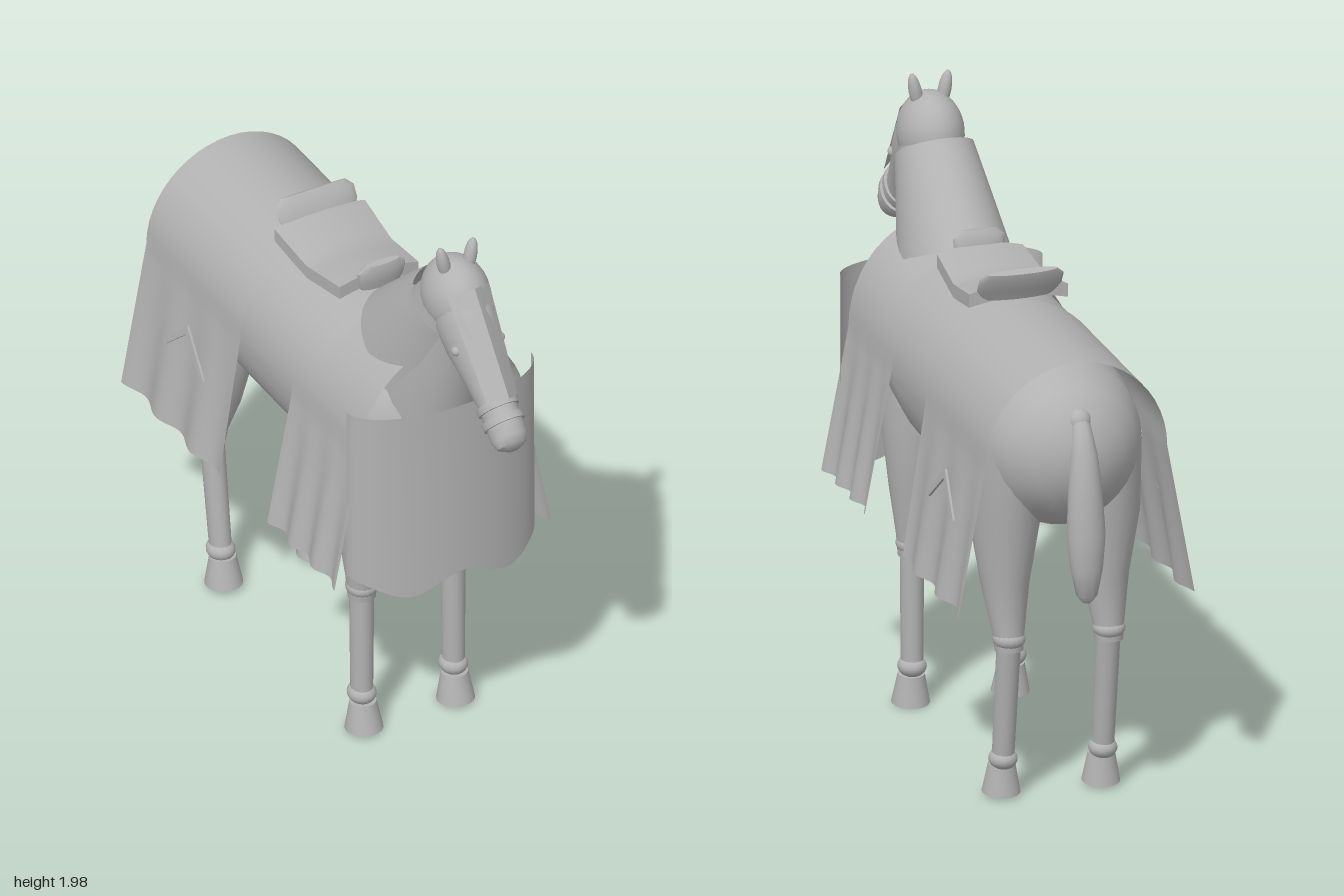
import * as THREE from 'three';
import { toCreasedNormals } from 'three/addons/utils/BufferGeometryUtils.js';

const gray = new THREE.MeshStandardMaterial({ color: 0xb2b2b2, side: THREE.DoubleSide });
gray.name = 'plain gray';

function build(pos, index) {
  const g = new THREE.BufferGeometry();
  g.setAttribute('position', new THREE.Float32BufferAttribute(pos, 3));
  g.setIndex(index);
  return toCreasedNormals(g, 0.7);
}

// Closed loft of ellipses; each section is [y, z, radius in x, radius across the path]
function loft(sections, n = 24) {
  const pos = [], idx = [], m = sections.length;
  sections.forEach(([y, z, rx, rn], k) => {
    const a = sections[Math.max(k - 1, 0)], b = sections[Math.min(k + 1, m - 1)];
    const len = Math.hypot(b[0] - a[0], b[1] - a[1]);
    const ty = (b[0] - a[0]) / len, tz = (b[1] - a[1]) / len;
    for (let i = 0; i < n; i++) {
      const t = (i / n) * Math.PI * 2, c = Math.cos(t) * rx, s = Math.sin(t) * rn;
      pos.push(c, y + s * tz, z - s * ty);
    }
  });
  for (let k = 0; k < m - 1; k++) {
    for (let i = 0; i < n; i++) {
      const j = (i + 1) % n, a = k * n + i, b = k * n + j;
      idx.push(a, b, a + n, b, b + n, a + n);
    }
  }
  const first = sections[0], last = sections[m - 1];
  pos.push(0, first[0], first[1], 0, last[0], last[1]);
  for (let i = 0; i < n; i++) {
    const j = (i + 1) % n, e = (m - 1) * n;
    idx.push(m * n, j, i, m * n + 1, e + i, e + j);
  }
  return build(pos, idx);
}

// Open sheet from a rule f(u, v) giving [x, y, z]
function sheet(f, nu, nv) {
  const pos = [], idx = [];
  for (let j = 0; j <= nv; j++) for (let i = 0; i <= nu; i++) pos.push(...f(i / nu, j / nv));
  for (let j = 0; j < nv; j++) {
    for (let i = 0; i < nu; i++) {
      const a = j * (nu + 1) + i, b = a + nu + 1;
      idx.push(a, a + 1, b, a + 1, b + 1, b);
    }
  }
  return build(pos, idx);
}

// Cloth arched over the back, hanging to a wavy hem
function drape({ z0, z1, bottom, period, flare, wave, r = 0.3, lift = () => 0 }) {
  return sheet((u, v) => {
    const side = u < 0.5 ? -1 : 1, t = Math.abs(u * 2 - 1), z = z0 + (z1 - z0) * v;
    if (t <= 0.5) {
      const a = t * Math.PI;
      return [side * r * Math.sin(a), 1.2 + (r + 0.01 + lift(z)) * Math.cos(a), z];
    }
    const k = t * 2 - 1, ripple = wave * Math.cos(((z - z0) / period) * Math.PI * 2);
    return [side * (r + k * (flare + ripple)), 1.2 - k * (1.2 - bottom), z];
  }, 48, 40);
}

export function createModel() {
  const model = new THREE.Group();
  model.name = 'barded horse';
  const add = (name, geo, x = 0, y = 0, z = 0) => {
    const m = new THREE.Mesh(geo, gray);
    m.name = name;
    m.position.set(x, y, z);
    model.add(m);
    return m;
  };

  // Body, neck and head
  add('body', loft([
    [1.2, -0.925, 0.02, 0.02], [1.2, -0.915, 0.08, 0.08], [1.2, -0.88, 0.15, 0.155], [1.2, -0.82, 0.21, 0.215],
    [1.2, -0.73, 0.255, 0.265], [1.19, -0.6, 0.28, 0.29], [1.18, -0.35, 0.285, 0.305], [1.18, -0.1, 0.285, 0.312],
    [1.18, 0.1, 0.28, 0.305], [1.19, 0.3, 0.265, 0.28], [1.2, 0.44, 0.22, 0.23], [1.2, 0.53, 0.13, 0.14], [1.2, 0.56, 0.02, 0.02],
  ], 32));
  add('neck', loft([
    [1.2, 0.36, 0.16, 0.22], [1.45, 0.43, 0.155, 0.21], [1.62, 0.52, 0.12, 0.165], [1.76, 0.59, 0.1, 0.125],
  ]));
  add('cranium', new THREE.SphereGeometry(1, 24, 16), 0, 1.785, 0.595).scale.set(0.105, 0.135, 0.135);
  add('head', loft([
    [1.79, 0.595, 0.09, 0.12], [1.73, 0.655, 0.095, 0.125], [1.66, 0.72, 0.085, 0.11], [1.59, 0.785, 0.068, 0.088],
    [1.53, 0.845, 0.057, 0.072], [1.485, 0.895, 0.058, 0.072], [1.445, 0.935, 0.06, 0.064],
    [1.425, 0.955, 0.05, 0.05], [1.415, 0.967, 0.02, 0.02],
  ]));
  [[1.525, 0.852, 0.066], [1.49, 0.888, 0.067]].forEach(([y, z, rx]) =>
    add('noseband', loft([[y, z, rx, 0.08], [y - 0.016, z + 0.018, rx, 0.08]])));

  // Ridged plate along the face
  add('facePlate', sheet((u, v) => {
    const t = u * 2 - 1, w = 0.076 - 0.02 * v, ridge = 1 - Math.abs(t);
    return [t * w, 1.85 - 0.285 * v + 0.027 * ridge, 0.67 + 0.22 * v + 0.045 * ridge];
  }, 6, 1));

  // Cloth round the neck, open at the throat
  add('neckCover', sheet((u, v) => {
    const a = -Math.PI / 2 + 0.45 + u * (Math.PI * 2 - 0.9);
    const rn = 0.235 - 0.1 * v, rx = 0.175 - 0.05 * v;
    const ny = 0.4 + 0.13 * v, nz = -Math.sqrt(1 - ny * ny);
    return [rx * Math.cos(a), 1.455 + 0.288 * v + ny * rn * Math.sin(a), 0.365 + 0.195 * v + nz * rn * Math.sin(a)];
  }, 36, 8));

  // Ears and eyes
  for (const s of [-1, 1]) {
    const ear = add(s > 0 ? 'leftEar' : 'rightEar', new THREE.SphereGeometry(1, 14, 10), s * 0.048, 1.92, 0.6);
    ear.scale.set(0.021, 0.065, 0.024);
    ear.rotation.z = -s * 0.2;
    add(s > 0 ? 'leftEye' : 'rightEye', new THREE.SphereGeometry(0.018, 12, 8), s * 0.077, 1.68, 0.735);
  }

  // Legs with joints and hooves
  const legs = {
    front: { knee: [0.54, 0.285], ankle: [0.13, 0.285], hoof: 0.3,
      upper: [[0.5, 0.285, 0.045, 0.045], [0.57, 0.285, 0.05, 0.055], [0.73, 0.285, 0.072, 0.085], [1.0, 0.29, 0.1, 0.13], [1.2, 0.29, 0.08, 0.12]] },
    back: { knee: [0.55, -0.675], ankle: [0.13, -0.615], hoof: -0.595,
      upper: [[0.51, -0.675, 0.045, 0.045], [0.57, -0.67, 0.05, 0.055], [0.72, -0.635, 0.075, 0.09], [0.95, -0.625, 0.11, 0.16], [1.2, -0.63, 0.11, 0.18]] },
  };
  for (const [place, L] of Object.entries(legs)) {
    for (const x of [-0.165, 0.165]) {
      const name = place + (x > 0 ? 'Left' : 'Right');
      add(name + 'UpperLeg', loft(L.upper, 20), x);
      add(name + 'Shin', loft([[...L.ankle, 0.035, 0.039], [...L.knee, 0.038, 0.045]], 20), x);
      add(name + 'Knee', new THREE.SphereGeometry(1, 18, 12), x, ...L.knee).scale.set(0.052, 0.036, 0.055);
      add(name + 'Ankle', new THREE.SphereGeometry(1, 18, 12), x, ...L.ankle).scale.set(0.046, 0.036, 0.051);
      add(name + 'Hoof', loft([[0.008, L.hoof, 0.061, 0.063], [0.105, L.hoof - 0.008, 0.043, 0.043]], 20), x).rotation.x = 0.01;
    }
  }

  // Tail
  add('dock', new THREE.SphereGeometry(0.04, 16, 12), 0, 1.325, -0.87);
  add('tail', loft([
    [1.345, -0.86, 0.022, 0.022], [1.31, -0.89, 0.032, 0.034], [1.22, -0.92, 0.045, 0.045], [1.1, -0.935, 0.055, 0.05],
    [0.97, -0.945, 0.062, 0.055], [0.86, -0.95, 0.052, 0.046], [0.77, -0.952, 0.034, 0.03], [0.745, -0.952, 0.012, 0.012],
  ]));

  // Cloth covers
  add('rearCover', drape({ z0: -0.85, z1: -0.25, bottom: 0.7, period: 0.22, flare: 0.077, wave: 0.014 }));
  add('frontCover', drape({ z0: 0.08, z1: 0.51, bottom: 0.73, period: 0.143, flare: 0.078, wave: 0.012,
    lift: (z) => 0.035 * Math.max(0, (z - 0.2) / 0.3) }));
  add('saddleCloth', sheet((u, v) => {
    const a = (u - 0.5) * (Math.PI + 0.4);
    return [0.293 * Math.sin(a), 1.2 + 0.3 * Math.cos(a), -0.27 + 0.37 * v];
  }, 36, 1));
  add('chestCover', sheet((u, v) => {
    const a = (u - 0.5) * Math.PI, x = 0.333 * Math.sin(a);
    const low = 0.73 + 0.03 * Math.cos((x / 0.36) * Math.PI * 2);
    return [x, 1.38 + (low - 1.38) * v, 0.485 + (0.145 + 0.015 * v) * Math.cos(a)];
  }, 48, 10));

  // Plain chevron trim on the rear cover
  const chevron = new THREE.Shape([[-0.135, -0.06], [0, 0.065], [0.135, -0.06], [0.105, -0.06], [0, 0.035], [-0.105, -0.06]]
    .map(([x, y]) => new THREE.Vector2(x, y)));
  for (const s of [-1, 1]) {
    const trim = add(s > 0 ? 'leftTrim' : 'rightTrim',
      new THREE.ExtrudeGeometry(chevron, { depth: 0.008, bevelEnabled: false }), s * 0.333, 1.02, -0.535);
    trim.rotation.set(-0.15, s * Math.PI / 2, 0, 'YXZ');
  }

  // Saddle
  const seat = new THREE.BoxGeometry(2, 0.045, 0.38, 12, 1, 8);
  const p = seat.attributes.position;
  for (let i = 0; i < p.count; i++) {
    const u = p.getX(i), z = p.getZ(i) - 0.085;
    p.setXYZ(i, u * (0.148 - 0.055 * z), p.getY(i) + 1.525 + 0.17 * Math.abs(z + 0.09) - 0.02 * u * u, z);
  }
  add('saddleSeat', toCreasedNormals(seat, 0.7));
  add('pommel', loft([[1.53, 0.11, 0.07, 0.018], [1.56, 0.113, 0.083, 0.022], [1.6, 0.12, 0.085, 0.022], [1.622, 0.124, 0.06, 0.012]]));
  add('cantle', loft([[1.535, -0.268, 0.115, 0.016], [1.57, -0.283, 0.14, 0.018], [1.61, -0.305, 0.14, 0.02], [1.632, -0.318, 0.115, 0.012]]));

  return model;
}
